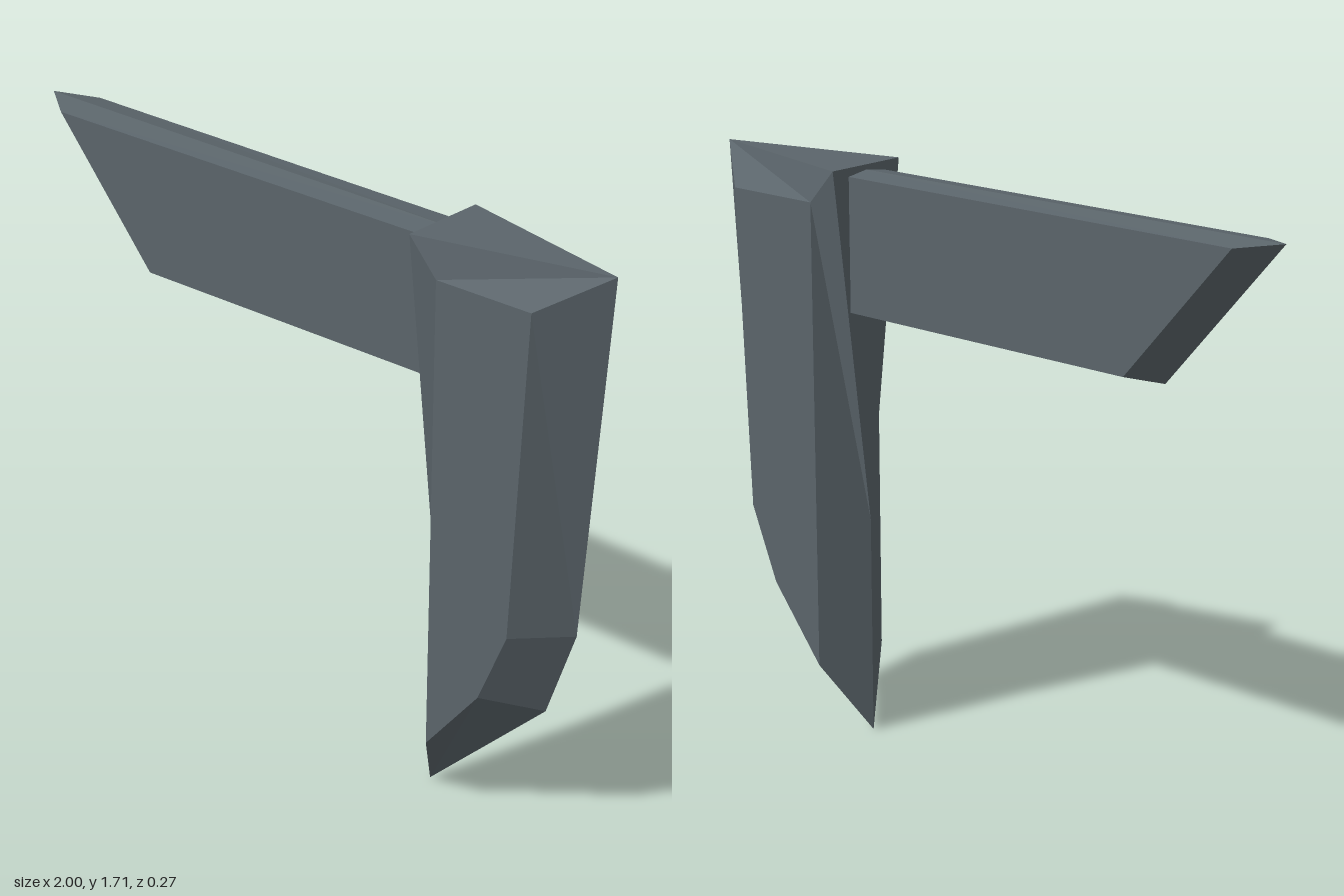
import * as THREE from 'three';

const steel = new THREE.MeshStandardMaterial({ color: 0x5b656b, flatShading: true });
steel.name = 'darkSteel';

// Builds a solid from the faces of its +z half, mirrored across z = 0.
function mirroredSolid(name, faces) {
  const positions = [];
  for (const face of faces) {
    for (let i = 1; i < face.length - 1; i++) {
      const [a, b, c] = [face[0], face[i], face[i + 1]];
      positions.push(...a, ...b, ...c);
      for (const [x, y, z] of [a, c, b]) positions.push(x, y, -z);
    }
  }
  const geometry = new THREE.BufferGeometry();
  geometry.setAttribute('position', new THREE.Float32BufferAttribute(positions, 3));
  geometry.computeVertexNormals();
  const mesh = new THREE.Mesh(geometry, steel);
  mesh.name = name;
  return mesh;
}

// Bevel quads between an outline on z = 0 and the edge of the side plate.
function bevels(outer, inner, count) {
  return Array.from({ length: count }, (_, i) => {
    const j = (i + 1) % outer.length;
    return [outer[i], outer[j], inner[j], inner[i]];
  });
}

function createBlade() {
  const w = 0.133;
  const ridge = [[0.445, 0], [0.84, 0.39], [0.93, 0.66], [1, 1.71]].map(([x, y]) => [x, y, 0]);
  const plate = [[0.535, 0.22], [0.71, 0.44], [0.8, 0.66], [0.84, 1.61], [0.535, 1.61], [0.535, 0.66]]
    .map(([x, y]) => [x, y, w]);
  const topCorner = [0.445, 1.71, w];
  const topMiddle = [0.445, 1.71, 0];
  const backPoint = [0.445, 0.66, 0];
  return mirroredSolid('blade', [
    plate,
    ...bevels(ridge, plate, 3),
    [ridge[3], topCorner, plate[4], plate[3]],   // slope under the top
    [backPoint, plate[5], plate[4], topCorner],  // upper back bevel
    [backPoint, ridge[0], plate[0], plate[5]],   // lower back bevel
    [topMiddle, topCorner, ridge[3]],            // triangular top
    [topMiddle, backPoint, topCorner],           // triangular back
  ]);
}

function createHandle() {
  const ridge = [[-1, 1.705, 0], [-0.63, 1.275, 0], [0.5, 1.285, 0], [0.5, 1.695, 0]];
  const plate = [[-0.89, 1.69, 0.077], [-0.55, 1.295, 0.077], [0.5, 1.295, 0.07], [0.5, 1.685, 0.07]];
  return mirroredSolid('handle', [plate, ...bevels(ridge, plate, 4)]);
}

export function createModel() {
  const group = new THREE.Group();
  group.name = 'bladedTool';
  group.add(createBlade(), createHandle());
  return group;
}
